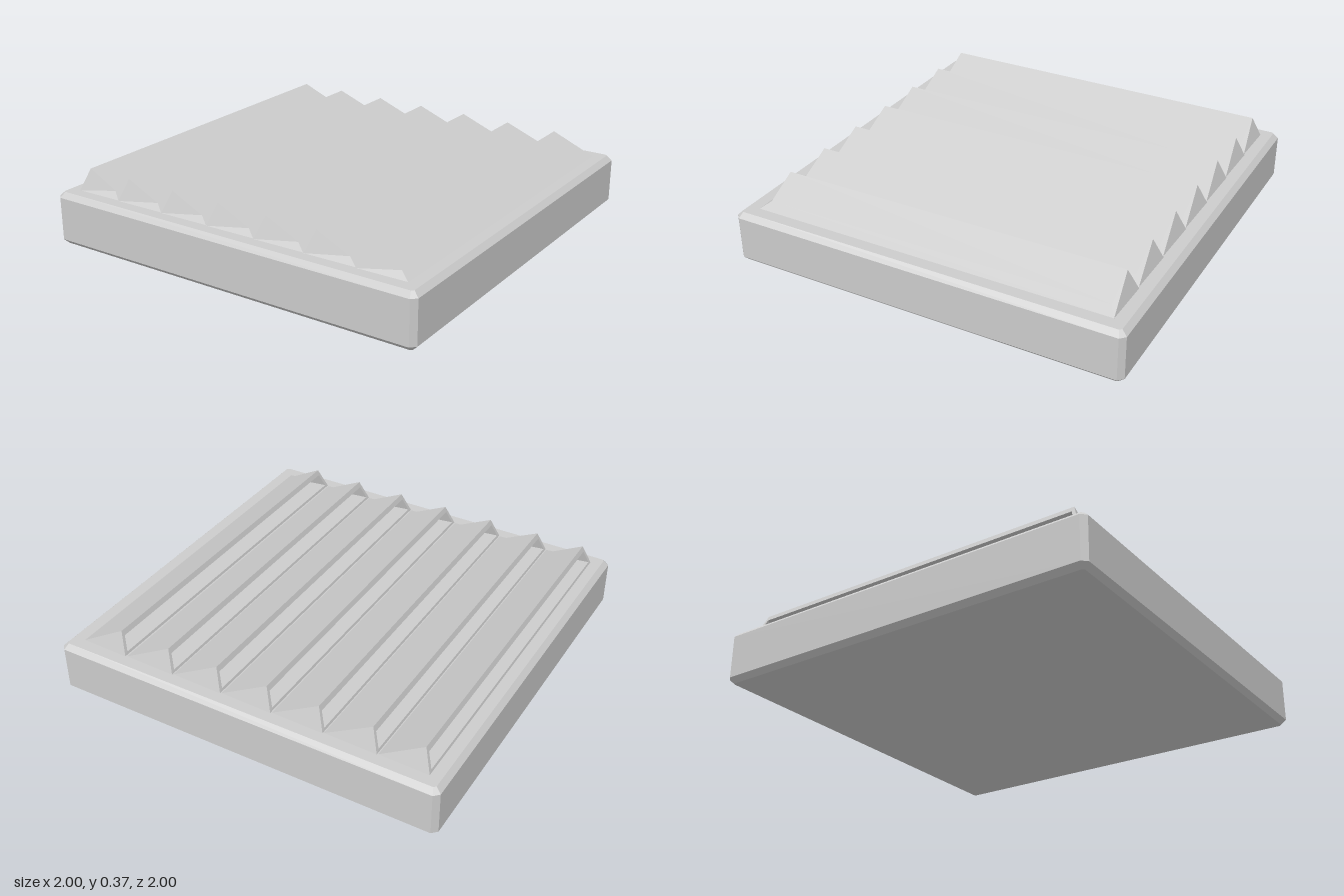
import * as THREE from 'three';

const BASE_TOP = 0.265, PEAK = 0.372;
const material = new THREE.MeshStandardMaterial({ color: 0xcccccc, flatShading: true, side: THREE.DoubleSide });

// Flat polygons, each split as a fan; corners run counter-clockwise seen from outside.
function facesGeometry(faces) {
  const pos = [];
  for (const f of faces)
    for (let i = 1; i < f.length - 1; i++) pos.push(...f[0], ...f[i], ...f[i + 1]);
  const g = new THREE.BufferGeometry();
  g.setAttribute('position', new THREE.Float32BufferAttribute(pos, 3));
  g.computeVertexNormals();
  return g;
}

// Slab with chamfered edges all round
function createBase() {
  const c = 0.025, a = 1 - c;
  const shape = new THREE.Shape([
    [1, -a], [1, a], [a, 1], [-a, 1], [-1, a], [-1, -a], [-a, -1], [a, -1],
  ].map(([x, y]) => new THREE.Vector2(x, y)));
  const g = new THREE.ExtrudeGeometry(shape, {
    depth: BASE_TOP - 2 * c, bevelEnabled: true, bevelSegments: 1,
    bevelSize: c, bevelThickness: c, bevelOffset: -c,
  });
  g.rotateX(-Math.PI / 2);
  g.translate(0, c, 0);
  return new THREE.Mesh(g, material);
}

// Louver with a long slope to +x, tapered ends and a recessed mouth towards -x
function createLouver(width) {
  const bend = width - 0.05;
  const bendY = PEAK - (PEAK - BASE_TOP) * (bend - 0.04) / (width - 0.04);
  const ends = [1, -1].map((s) => ({
    s,
    heel: [0, BASE_TOP, 0.92 * s],
    peak: [0.04, PEAK, 0.88 * s],
    bend: [bend, bendY, 0.88 * s],
    foot: [width, BASE_TOP, 0.915 * s],
    mouthLow: [0.004, 0.277, 0.897 * s],
    mouthHigh: [0.03, 0.346, 0.873 * s],
    inner: [0.155, 0.277, 0.875 * s],
  }));
  const [f, b] = ends;
  const faces = [
    // Slope
    [f.peak, f.bend, b.bend, b.peak],
    [f.bend, f.foot, b.foot, b.bend],
    // Upper and lower lips of the mouth
    [f.peak, b.peak, b.mouthHigh, f.mouthHigh],
    [f.mouthLow, b.mouthLow, b.heel, f.heel],
    // Recess ceiling and floor
    [f.mouthHigh, b.mouthHigh, b.inner, f.inner],
    [f.mouthLow, f.inner, b.inner, b.mouthLow],
  ];
  for (const e of ends) {
    const sides = [
      [e.heel, e.foot, e.bend, e.peak],
      [e.heel, e.peak, e.mouthHigh, e.mouthLow],
      [e.mouthLow, e.mouthHigh, e.inner],
    ];
    for (const side of sides) faces.push(e.s > 0 ? side : side.reverse());
  }
  return new THREE.Mesh(facesGeometry(faces), material);
}

export function createModel() {
  const model = new THREE.Group();
  model.name = 'louveredPanel';

  const base = createBase();
  base.name = 'base';
  model.add(base);

  // Row of louvers
  const starts = [-0.92, -0.67, -0.403, -0.135, 0.133, 0.4, 0.67];
  starts.forEach((x, i) => {
    const louver = createLouver(i === 0 || i === 6 ? 0.245 : 0.262);
    louver.name = 'louver' + (i + 1);
    louver.position.x = x;
    model.add(louver);
  });
  return model;
}
